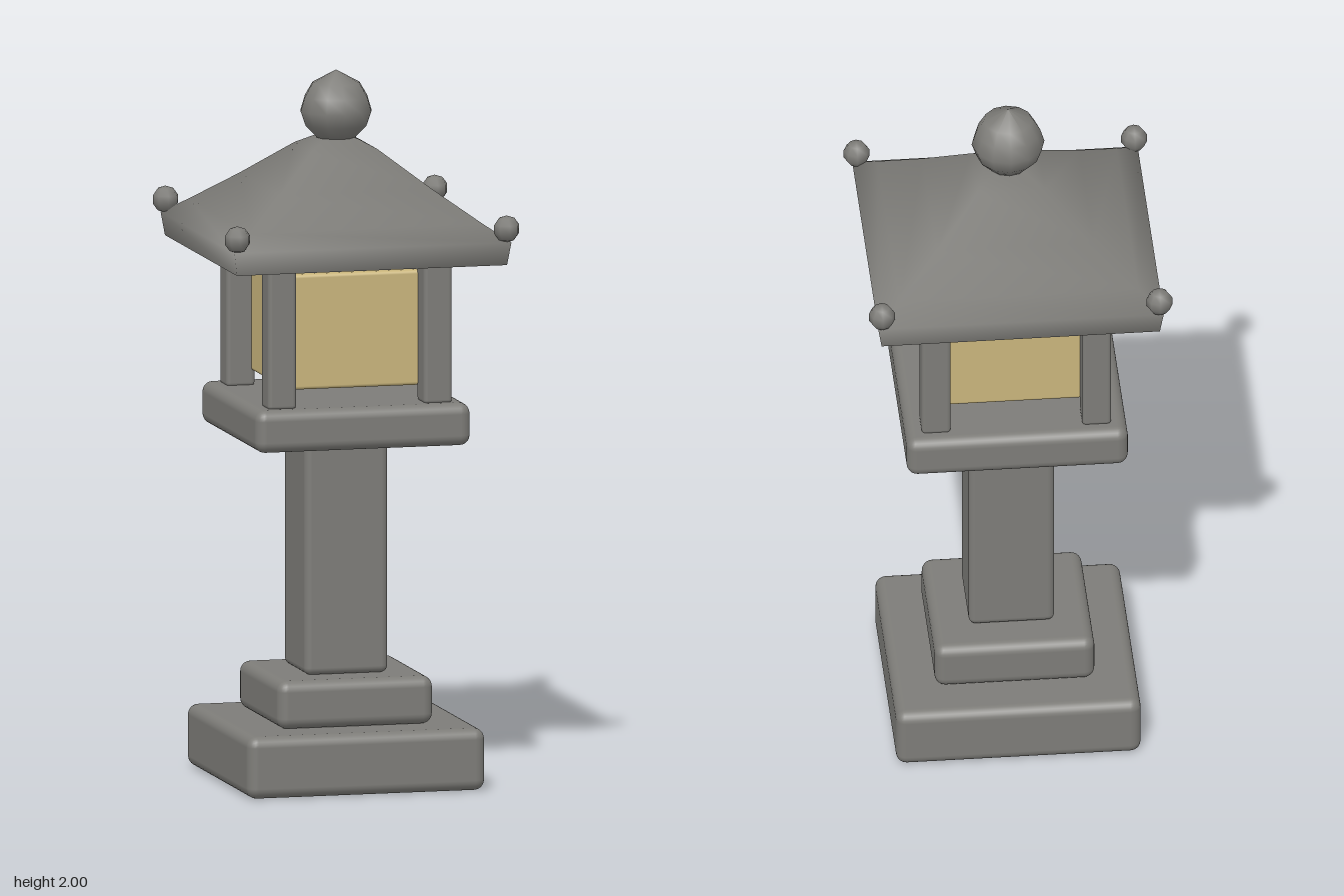
import * as THREE from 'three';
import { RoundedBoxGeometry } from 'three/addons/geometries/RoundedBoxGeometry.js';

export function createModel() {
  const group = new THREE.Group();
  const stone = new THREE.MeshStandardMaterial({ color: 0x7d7c78 });
  const glow = new THREE.MeshStandardMaterial({ color: 0xc9b57c });

  const add = (name, geometry, material = stone, x = 0, y = 0, z = 0) => {
    const mesh = new THREE.Mesh(geometry, material);
    mesh.name = name;
    mesh.position.set(x, y, z);
    group.add(mesh);
    return mesh;
  };

  // Square block with rounded edges, from half width and height range
  const block = (name, half, y0, y1, radius, material = stone, x = 0, z = 0) =>
    add(name, new RoundedBoxGeometry(half * 2, y1 - y0, half * 2, 3, radius), material, x, (y0 + y1) / 2, z);

  const points = (list, scale = 1) => list.map(([r, y]) => new THREE.Vector2(r * scale, y));

  // Stepped base, post and platform
  block('base', 0.343, 0, 0.175, 0.03);
  block('baseStep', 0.224, 0.175, 0.31, 0.03);
  block('post', 0.12, 0.31, 0.97, 0.02);
  block('platform', 0.31, 0.97, 1.09, 0.03);

  // Lamp chamber
  block('lampBox', 0.195, 1.13, 1.455, 0.01, glow);

  // Roof: four-sided sweep of a concave profile; the repeated point keeps the lower edge sharp
  const roofProfile = [
    [0, 1.49], [0.39, 1.49], [0.39, 1.49], [0.4, 1.555], [0.335, 1.6],
    [0.22, 1.685], [0.095, 1.785], [0.05, 1.81], [0, 1.815],
  ];
  add('roof', new THREE.LatheGeometry(points(roofProfile, Math.SQRT2), 4, Math.PI / 4));

  // Pointed finial on top
  const finialProfile = [
    [0, 1.8], [0.055, 1.81], [0.088, 1.845], [0.102, 1.885], [0.09, 1.925], [0.068, 1.963], [0, 2],
  ];
  add('finial', new THREE.LatheGeometry(points(finialProfile), 12));

  // Corner pillars and roof corner knobs
  for (const sx of [-1, 1]) {
    for (const sz of [-1, 1]) {
      block('pillar', 0.041, 1.085, 1.495, 0.012, stone, sx * 0.225, sz * 0.225);
      add('cornerKnob', new THREE.SphereGeometry(0.038, 8, 5), stone, sx * 0.389, 1.592, sz * 0.389);
    }
  }
  return group;
}
